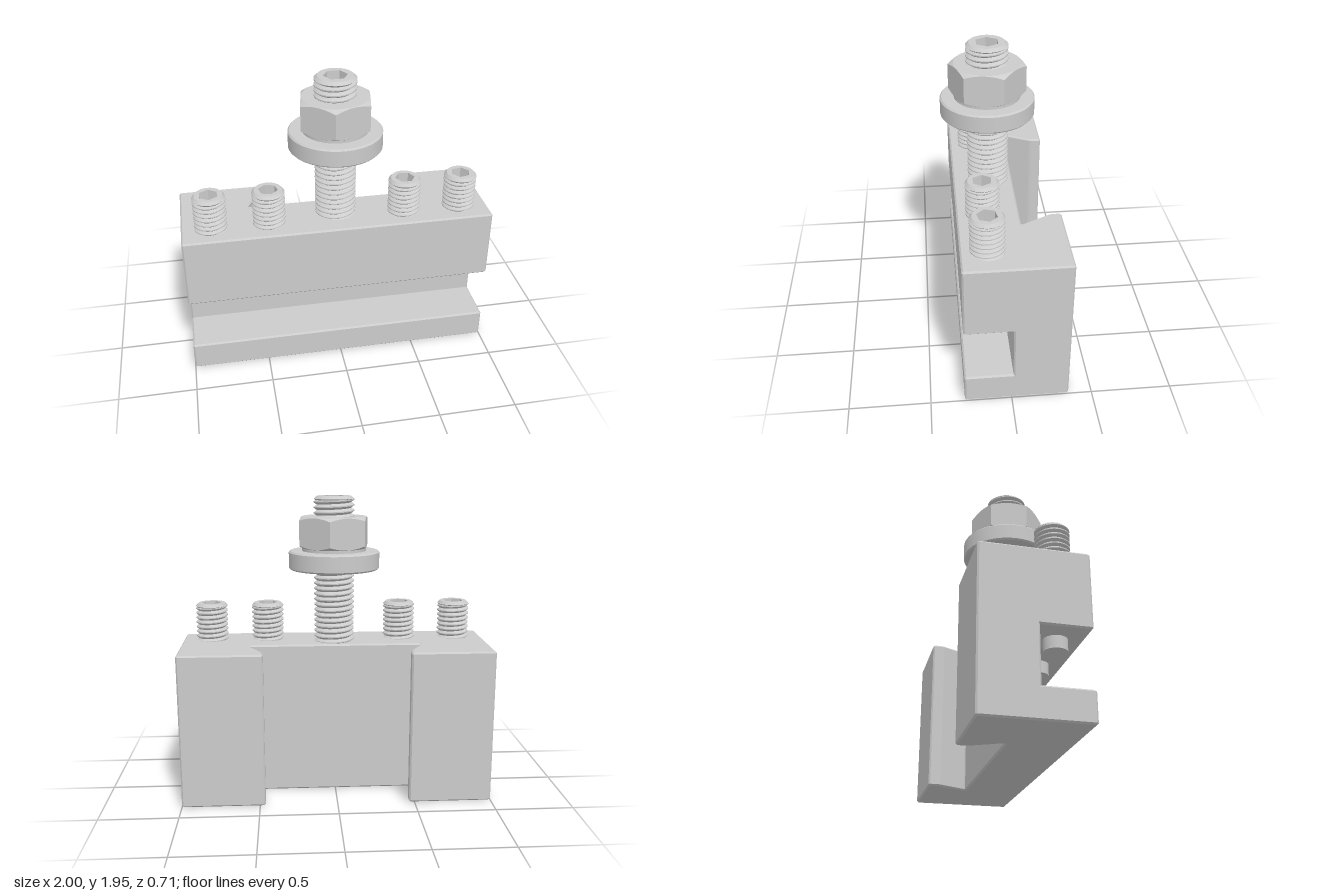
import * as THREE from 'three';
import { toCreasedNormals } from 'three/addons/utils/BufferGeometryUtils.js';

const CHAMFER = 0.01;
const steel = new THREE.MeshStandardMaterial({ color: 0xcccccc });

function add(parent, name, geometry) {
  const mesh = new THREE.Mesh(geometry, steel);
  mesh.name = name;
  parent.add(mesh);
  return mesh;
}

function lathe(points, segments = 48) {
  const profile = points.map(([r, y]) => new THREE.Vector2(r, y));
  return toCreasedNormals(new THREE.LatheGeometry(profile, segments), 0.4);
}

// Plan outline (x, z) with chamfered corners, raised from y0 to y1 with chamfered rims
function slab(outline, y0, y1) {
  const corners = outline.map(([x, z]) => new THREE.Vector2(x, -z));
  const points = [];
  corners.forEach((p, i) => {
    for (const q of [corners.at(i - 1), corners[(i + 1) % corners.length]]) {
      points.push(p.clone().add(q.clone().sub(p).setLength(CHAMFER)));
    }
  });
  return new THREE.ExtrudeGeometry(new THREE.Shape(points), {
    depth: y1 - y0 - 2 * CHAMFER, bevelEnabled: true, bevelSegments: 1,
    bevelSize: CHAMFER, bevelThickness: CHAMFER, bevelOffset: -CHAMFER,
  }).rotateX(-Math.PI / 2).translate(0, y0 + CHAMFER, 0);
}

// Zigzag lathe sheared into a right-handed helix and trimmed at both ends
function thread(crest, root, pitch, y0, y1) {
  const profile = [];
  for (let y = y0 - pitch; y < y1 + pitch; y += pitch) {
    profile.push(new THREE.Vector2(root, y), new THREE.Vector2(crest, y + pitch * 0.4),
      new THREE.Vector2(crest, y + pitch * 0.6));
  }
  const geometry = new THREE.LatheGeometry(profile, 40);
  const { position, uv } = geometry.attributes;
  for (let i = 0; i < position.count; i++) {
    position.setY(i, THREE.MathUtils.clamp(position.getY(i) + pitch * uv.getX(i), y0, y1));
  }
  return toCreasedNormals(geometry, 0.4);
}

// Threaded rod with a chamfered tip and a hexagon socket
function socketStud(name, { crest, root, pitch, y0, top, hex, turn }) {
  const stud = new THREE.Group();
  stud.name = name;
  add(stud, 'thread', thread(crest, root, pitch, y0, top - 0.018));
  add(stud, 'tipChamfer', lathe([[root, top - 0.035], [crest, top - 0.018], [root, top]]));

  const face = new THREE.Shape().absarc(0, 0, root, 0, Math.PI * 2);
  const hole = [];
  for (let i = 0; i < 6; i++) {
    const a = turn - i * Math.PI / 3;
    hole.push(new THREE.Vector2(hex * Math.cos(a), hex * Math.sin(a)));
  }
  face.holes.push(new THREE.Path(hole));
  const depth = 0.1;
  add(stud, 'socket', new THREE.ExtrudeGeometry(face, { depth, bevelEnabled: false, curveSegments: 24 })
    .rotateX(-Math.PI / 2).translate(0, top - depth, 0));
  add(stud, 'socketFloor', new THREE.CircleGeometry(root, 32)
    .rotateX(-Math.PI / 2).translate(0, top - depth, 0));
  return stud;
}

// Hexagonal prism whose corners are cut by a cone at both ends
function hexNut(apothem, y0, y1) {
  const rim = apothem - 0.004, perSide = 12;
  const profile = [[0, y0], [rim, y0], [1, y0], [1, y1], [rim, y1], [0, y1]];
  const geometry = new THREE.LatheGeometry(profile.map(p => new THREE.Vector2(...p)), 6 * perSide);
  const position = geometry.attributes.position;
  for (let k = 0; k < position.count; k++) {
    const column = Math.floor(k / 6), row = k % 6;
    if (row !== 2 && row !== 3) continue;
    const fromFlat = ((column % perSide) / perSide - 0.5) * Math.PI / 3;
    const r = apothem / Math.cos(fromFlat);
    const drop = (r - rim) * 0.6;
    const x = position.getX(k), z = position.getZ(k);
    position.setXYZ(k, x * r, row === 2 ? y0 + drop : y1 - drop, z * r);
  }
  return toCreasedNormals(geometry, 0.3);
}

export function createModel() {
  const model = new THREE.Group();
  model.name = 'toolHolder';

  // Body: dovetailed back web with an upper and a lower jaw in front of it
  const body = new THREE.Group();
  body.name = 'body';
  model.add(body);
  const half = [[1, -0.01], [1, -0.355], [0.465, -0.355], [0.465, -0.285], [0.562, -0.095]];
  const mirrored = half.map(([x, z]) => [-x, z]).reverse();
  add(body, 'dovetailWeb', slab([...mirrored, ...half].reverse(), 0, 1));
  const jaw = [[-1, 0.29], [1, 0.29], [1, -0.06], [-1, -0.06]];
  add(body, 'lowerJaw', slab(jaw, 0, 0.19));
  add(body, 'upperJaw', slab(jaw, 0.535, 1));

  // Clamping screws, with plain tips reaching into the tool slot
  [-0.81, -0.44, 0.44, 0.81].forEach((x, i) => {
    const screw = socketStud('clampScrew', {
      crest: 0.104, root: 0.088, pitch: 0.031, y0: 0.97, top: 1.245, hex: 0.063, turn: 0.5 + i * 0.25,
    });
    add(screw, 'screwTip', lathe([[0, 0.46], [0.07, 0.46], [0.07, 0.56]]));
    screw.position.set(x, 0, 0.13);
    model.add(screw);
  });

  // Height adjusting stud with its washer and nut
  const stud = socketStud('heightStud', {
    crest: 0.131, root: 0.111, pitch: 0.035, y0: 0.97, top: 1.945, hex: 0.076, turn: 0,
  });
  stud.position.z = 0.06;
  model.add(stud);
  add(stud, 'washer', lathe([[0, 1.475], [0.285, 1.475], [0.295, 1.485], [0.295, 1.585], [0.285, 1.595], [0, 1.595]], 64));
  add(stud, 'nutCollar', lathe([[0.208, 1.59], [0.208, 1.62]]));
  add(stud, 'nut', hexNut(0.21, 1.612, 1.815)).rotation.y = THREE.MathUtils.degToRad(50.5);

  return model;
}
